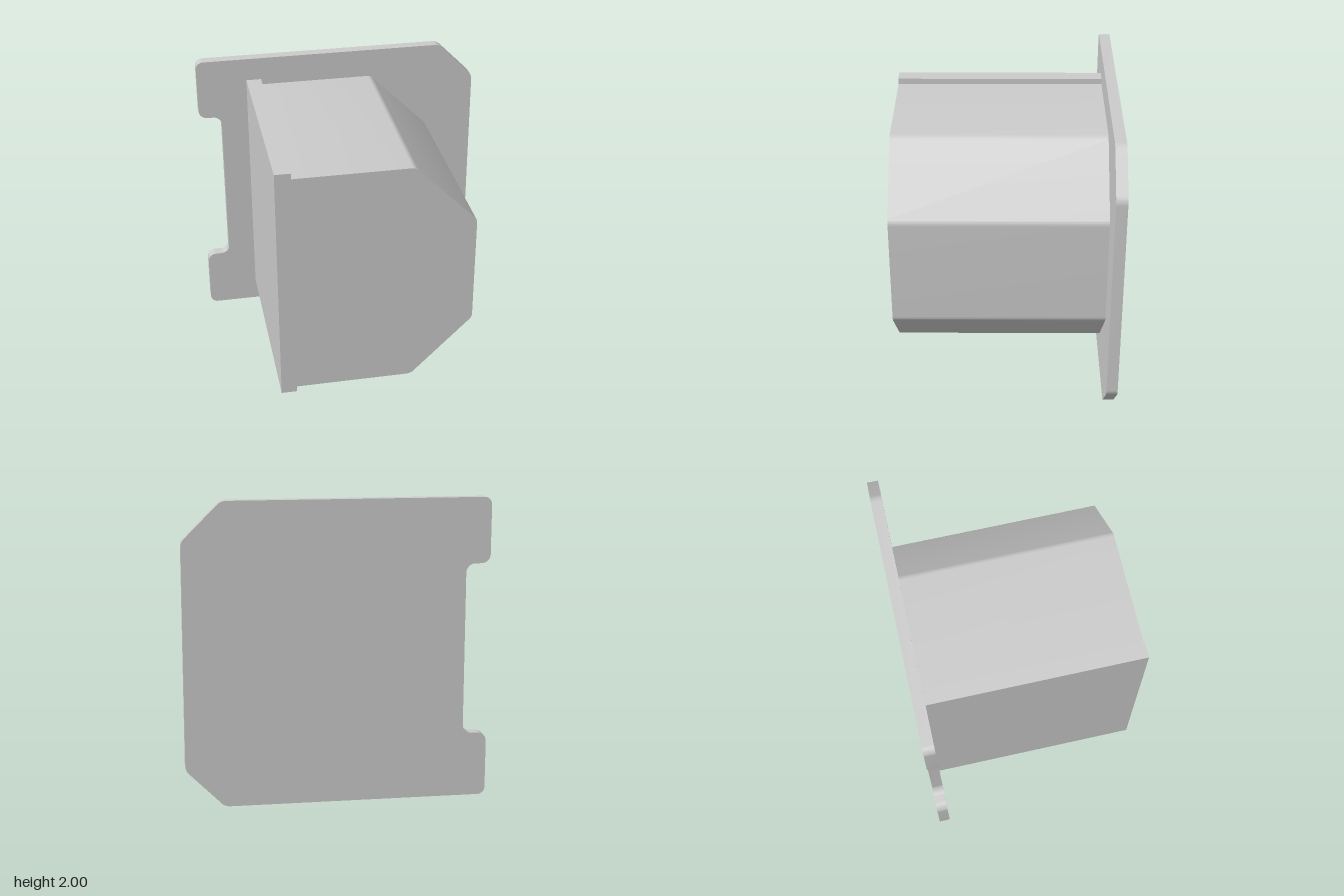
import * as THREE from 'three';
import { toCreasedNormals } from 'three/addons/utils/BufferGeometryUtils.js';

// Closed outline from [x, y, radius] corners, each rounded by a true arc
function roundedShape(corners) {
  const shape = new THREE.Shape();
  const n = corners.length;
  corners.forEach(([x, y, r], i) => {
    const p = new THREE.Vector2(x, y);
    const a = new THREE.Vector2(...corners[(i + n - 1) % n].slice(0, 2)).sub(p).normalize();
    const b = new THREE.Vector2(...corners[(i + 1) % n].slice(0, 2)).sub(p).normalize();
    const half = Math.acos(a.dot(b)) / 2;
    const start = p.clone().addScaledVector(a, r / Math.tan(half));
    if (i === 0) shape.moveTo(start.x, start.y);
    else shape.lineTo(start.x, start.y);
    if (r === 0) return;
    const end = p.clone().addScaledVector(b, r / Math.tan(half));
    const c = p.clone().addScaledVector(a.clone().add(b).normalize(), r / Math.sin(half));
    const clockwise = a.cross(b) > 0;
    shape.absarc(c.x, c.y, r,
      Math.atan2(start.y - c.y, start.x - c.x),
      Math.atan2(end.y - c.y, end.x - c.x), clockwise);
  });
  shape.closePath();
  return shape;
}

// Completes a lower half outline (left to right) by mirroring it about y = 1
function mirrored(lower) {
  return [...lower, ...lower.map(([x, y, r]) => [x, 2 - y, r]).reverse()];
}

function extruded(name, corners, z0, z1, material) {
  const geometry = new THREE.ExtrudeGeometry(roundedShape(corners), {
    depth: z1 - z0, bevelEnabled: false, curveSegments: 8,
  });
  geometry.translate(0, 0, z0);
  const mesh = new THREE.Mesh(toCreasedNormals(geometry, 0.5), material);
  mesh.name = name;
  return mesh;
}

export function createModel() {
  const group = new THREE.Group();
  group.name = 'flangedPlug';
  const material = new THREE.MeshStandardMaterial({ color: 0xcccccc });

  // Back plate: chamfered on +x, notched on -x
  const plate = mirrored([
    [-0.84, 0.43, 0.06], [-1, 0.43, 0.06], [-1, 0, 0.05],
    [0.745, 0, 0.08], [1, 0.255, 0.08],
  ]);
  group.add(extruded('backPlate', plate, -0.755, -0.68, material));

  // Solid body with two chamfers and a rib along each -x edge
  const body = mirrored([
    [-0.65, 0.16, 0], [-0.545, 0.16, 0], [-0.545, 0.2, 0],
    [0.245, 0.2, 0.06], [0.663, 0.618, 0.06],
  ]);
  group.add(extruded('body', body, -0.68, 0.755, material));

  return group;
}
